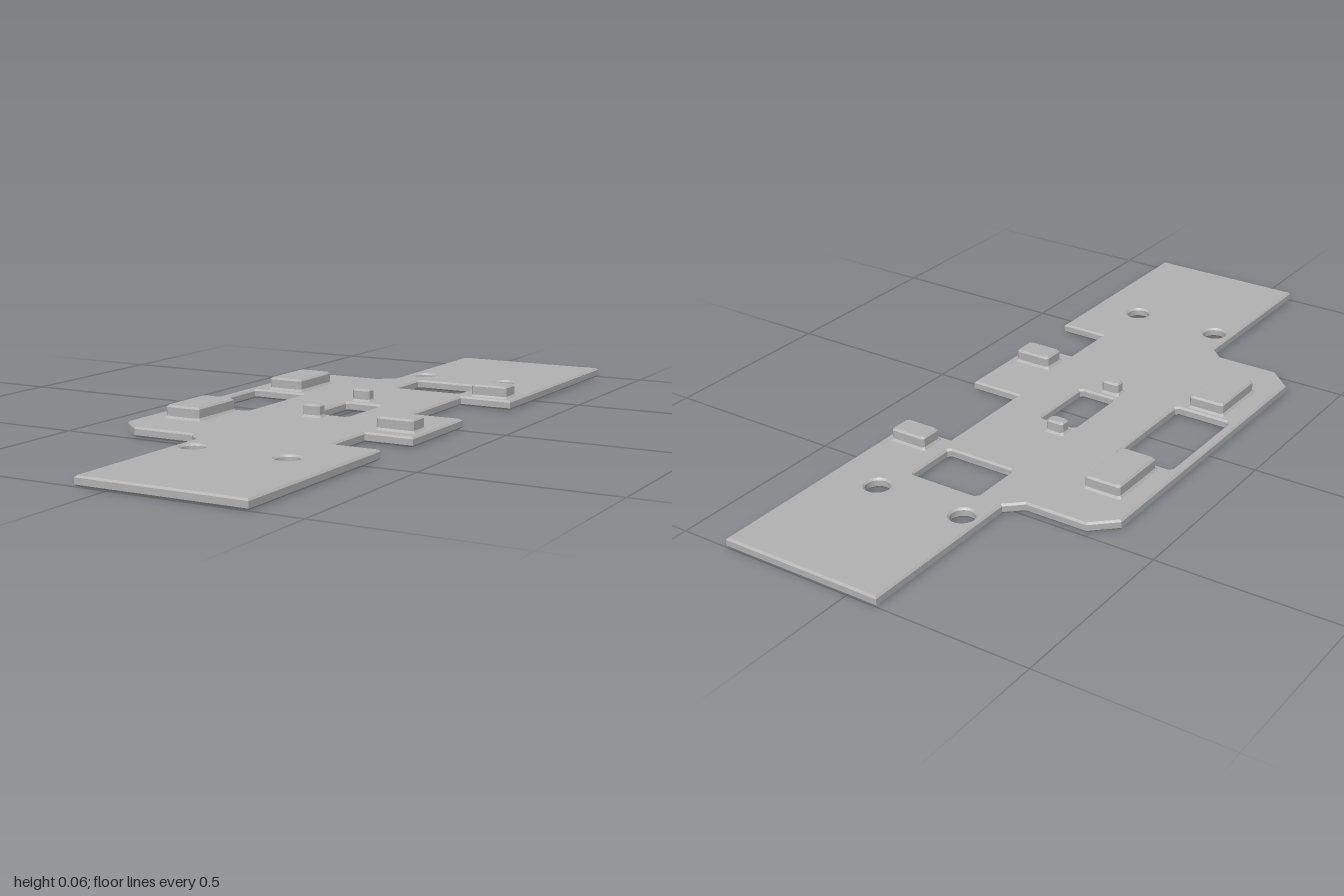
import * as THREE from 'three';

const PLATE_TOP = 0.026;
const BEVEL = 0.005;

// Rectangle with small cut corners, as [x, z] points in order around the centre
function cutRect(x0, x1, z0, z1, c) {
  return [
    [x0 + c, z0], [x1 - c, z0], [x1, z0 + c], [x1, z1 - c],
    [x1 - c, z1], [x0 + c, z1], [x0, z1 - c], [x0, z0 + c],
  ];
}

const toShapePoints = (pts) => pts.map(([x, z]) => new THREE.Vector2(x, -z));

// Raised pad: flared foot, straight wall, chamfered top
function padGeometry(x0, x1, z0, z1) {
  const levels = [[PLATE_TOP - 0.001, 0.006], [0.032, 0], [0.055, 0], [0.06, -0.005]];
  const pos = [];
  const rings = levels.map(([y, o]) =>
    cutRect(x0 - o, x1 + o, z0 - o, z1 + o, 0.006).map(([x, z]) => [x, y, z]));
  const n = rings[0].length;
  for (let i = 0; i < rings.length - 1; i++) {
    for (let j = 0; j < n; j++) {
      const k = (j + 1) % n;
      const [a, b, c, d] = [rings[i][j], rings[i][k], rings[i + 1][k], rings[i + 1][j]];
      pos.push(...a, ...c, ...b, ...a, ...d, ...c);
    }
  }
  const top = rings[rings.length - 1];
  for (let j = 1; j < n - 1; j++) pos.push(...top[0], ...top[j + 1], ...top[j]);
  const geo = new THREE.BufferGeometry();
  geo.setAttribute('position', new THREE.Float32BufferAttribute(pos, 3));
  geo.computeVertexNormals();
  return geo;
}

function plateGeometry() {
  // Outline: stepped left side, two notches on the right side
  const shape = new THREE.Shape(toShapePoints([
    [-0.087, -1], [-0.087, -0.525], [-0.13, -0.486], [-0.305, -0.486], [-0.368, -0.428],
    [-0.368, 0.424], [-0.305, 0.482], [-0.13, 0.482], [-0.087, 0.521], [-0.087, 1],
    [0.366, 1], [0.366, 0.422], [0.232, 0.422], [0.232, 0.256], [0.366, 0.256],
    [0.366, -0.027], [0.217, -0.027], [0.217, -0.33], [0.366, -0.33], [0.366, -1],
  ]));

  // Windows
  for (const [x0, x1, z0, z1] of [
    [-0.011, 0.191, -0.524, -0.371],
    [-0.342, -0.18, -0.153, 0.149],
    [-0.016, 0.092, -0.101, 0.096],
  ]) shape.holes.push(new THREE.Path(toShapePoints(cutRect(x0, x1, z0, z1, 0.008))));

  // Screw holes
  for (const x of [-0.037, 0.225]) {
    for (const z of [-0.616, 0.611]) {
      shape.holes.push(new THREE.Path().absarc(x, -z, 0.032, 0, Math.PI * 2, true));
    }
  }

  const geo = new THREE.ExtrudeGeometry(shape, {
    depth: PLATE_TOP - 2 * BEVEL, curveSegments: 16, bevelEnabled: true,
    bevelThickness: BEVEL, bevelSize: BEVEL, bevelOffset: -BEVEL, bevelSegments: 1,
  });
  geo.rotateX(-Math.PI / 2);
  geo.translate(0, BEVEL, 0);
  return geo;
}

export function createModel() {
  const group = new THREE.Group();
  const grey = new THREE.MeshStandardMaterial({ color: 0xb2b2b2 });
  grey.name = 'grey';

  const add = (name, geo) => {
    const mesh = new THREE.Mesh(geo, grey);
    mesh.name = name;
    group.add(mesh);
  };

  add('plate', plateGeometry());

  // Raised pads: name, x range, z range
  for (const [name, ...box] of [
    ['largePadBack', -0.31, -0.208, -0.347, -0.172],
    ['largePadFront', -0.31, -0.208, 0.165, 0.34],
    ['smallPadBack', -0.013, 0.038, -0.155, -0.121],
    ['smallPadFront', -0.013, 0.038, 0.114, 0.147],
    ['sidePadBack', 0.24, 0.344, -0.414, -0.347],
    ['sidePadFront', 0.24, 0.344, 0.146, 0.214],
  ]) add(name, padGeometry(...box));

  return group;
}
